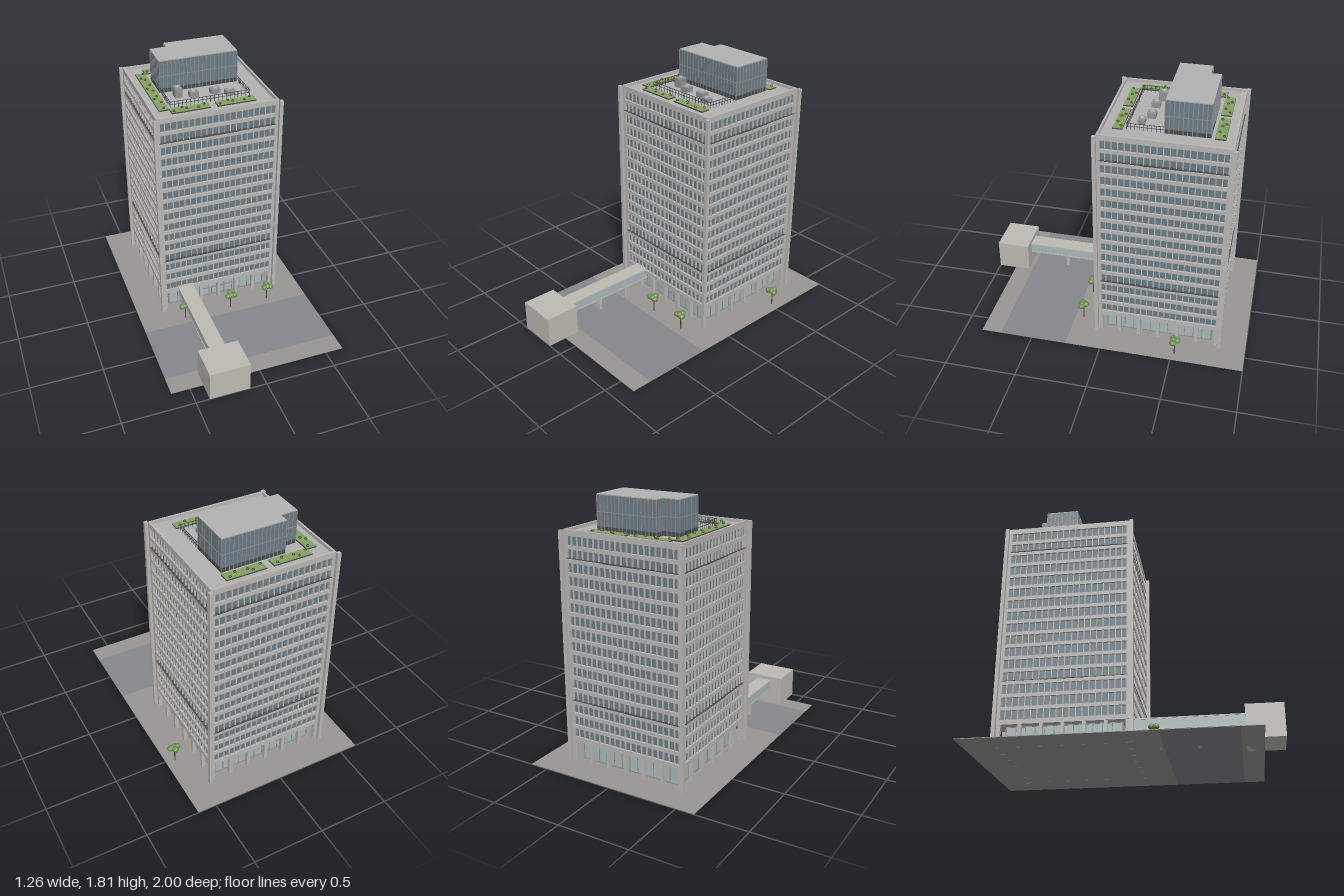
import * as THREE from 'three';
import { mergeGeometries } from 'three/addons/utils/BufferGeometryUtils.js';

const mat = (color) => new THREE.MeshStandardMaterial({ color, flatShading: true });
const M = {
  concrete: mat(0xbab8b5), annex: mat(0xbcbbb3), glass: mat(0x6b7c86), lobby: mat(0xaab9bc),
  dark: mat(0x4a4c4e), metal: mat(0x8f9193), roof: mat(0xb2b2b2), paving: mat(0x979693),
  road: mat(0x86878c), grass: mat(0x86a062), leaf: mat(0x6f8f52), shrub: mat(0x3f5a34), trunk: mat(0x5a4a38),
};

// Box given by its min and max corners
function box(x0, x1, y0, y1, z0, z1) {
  return new THREE.BoxGeometry(x1 - x0, y1 - y0, z1 - z0)
    .translate((x0 + x1) / 2, (y0 + y1) / 2, (z0 + z1) / 2);
}

function add(parent, name, geos, material) {
  const mesh = new THREE.Mesh(mergeGeometries([].concat(geos)), material);
  mesh.name = name;
  parent.add(mesh);
  return mesh;
}

// Square block centred on the tower axis
const square = (h, y0, y1) => box(-h, h, y0, y1, -h, h);

// Copies geometries made for the front side onto all four sides
const fourSides = (geos) =>
  [0, 1, 2, 3].flatMap((k) => geos.map((g) => g.clone().rotateY((k * Math.PI) / 2)));

const DECK = 1.575;

function makeTower() {
  const t = new THREE.Group();
  t.name = 'tower';
  t.position.z = -0.375;
  const H = 0.43, G = 0.415, floors = 16, pitch = 0.0877, sill = 0.18, winH = 0.0625;

  add(t, 'windowGlass', square(G, 0.15, 1.56), M.glass);

  // Floor bands between the window rows
  const bands = [square(H, 0.148, sill)];
  for (let i = 0; i < floors - 1; i++) {
    const y = sill + i * pitch + winH;
    bands.push(square(H, y, y + pitch - winH));
  }
  bands.push(square(H, sill + (floors - 1) * pitch + winH, DECK));
  add(t, 'floorBands', bands, M.concrete);

  // Mullions and wider end piers on every side
  const bars = [];
  for (let i = 1; i < 20; i++) {
    const x = -G + (i * 2 * G) / 20;
    bars.push(box(x - 0.003, x + 0.003, 0.15, 1.56, G - 0.005, H - 0.003));
  }
  for (const s of [-1, 1]) bars.push(box(s * 0.4225 - 0.0075, s * 0.4225 + 0.0075, 0.15, 1.56, G - 0.01, H));
  add(t, 'mullions', fourSides(bars), M.concrete);

  // Dark ledges below two of the floors
  add(t, 'ledges', fourSides([0.445, 1.413].flatMap((y) => [
    box(-0.415, 0.415, y - 0.002, y + 0.002, H - 0.02, H + 0.002),
    box(-0.14, 0.14, y - 0.004, y + 0.002, H - 0.02, H + 0.003),
  ])), M.dark);

  // Parapet, roof deck and corner columns
  add(t, 'parapet', fourSides([box(-H, H, DECK - 0.005, 1.597, H - 0.014, H)]), M.concrete);
  add(t, 'roofDeck', square(G, DECK - 0.01, DECK + 0.001), M.roof);
  const corners = [];
  for (const sx of [-1, 1]) for (const sz of [-1, 1])
    corners.push(box(-0.0125, 0.0125, 0, 1.592, -0.0125, 0.0125).translate(sx * 0.44, 0, sz * 0.44));
  add(t, 'cornerColumns', corners, M.concrete);

  // Recessed lobby with its frames and the ground floor colonnade
  add(t, 'lobbyGlass', square(0.375, 0.004, 0.15), M.lobby);
  const frames = [], columns = [];
  for (let i = 0; i <= 12; i++) {
    const x = -0.372 + i * 0.062;
    frames.push(box(x - 0.002, x + 0.002, 0.004, 0.15, 0.37, 0.379));
  }
  for (const y of [0.008, 0.146]) frames.push(box(-0.375, 0.375, y - 0.003, y + 0.003, 0.37, 0.379));
  for (let i = 0; i <= 6; i++) {
    const x = -0.414 + i * 0.138;
    columns.push(box(x - 0.011, x + 0.011, 0, 0.15, 0.4, 0.428));
  }
  add(t, 'lobbyFrames', fourSides(frames), M.metal);
  add(t, 'groundColumns', fourSides(columns), M.concrete);
  add(t, 'entranceDoors', [
    box(-0.12, 0.13, 0.073, 0.079, 0.37, 0.385),
    ...[-0.06, -0.04, 0, 0.06].map((x) => box(x - 0.002, x + 0.002, 0.004, 0.075, 0.37, 0.383)),
  ], M.metal);
  return t;
}

function makePenthouse() {
  const p = new THREE.Group();
  p.name = 'penthouse';
  const outline = [[-0.283, -0.352], [0.28, -0.352], [0.28, -0.645], [-0.163, -0.645], [-0.163, -0.575], [-0.283, -0.575]];
  const slab = (y0, y1, pts = outline) => new THREE.ExtrudeGeometry(
    new THREE.Shape(pts.map(([x, z]) => new THREE.Vector2(x, -z))),
    { depth: y1 - y0, bevelEnabled: false }).rotateX(-Math.PI / 2).translate(0, y0, 0);
  add(p, 'penthouseGlass', slab(DECK, 1.804), M.glass);
  add(p, 'penthouseRoof', slab(1.803, 1.81), M.roof);

  // Mullions and rails along each wall
  const bars = [], rails = [], plinth = [];
  outline.forEach(([x0, z0], i) => {
    const [x1, z1] = outline[(i + 1) % outline.length];
    const len = Math.hypot(x1 - x0, z1 - z0), n = Math.round(len / 0.028);
    for (let k = 0; k < n; k++) {
      const x = x0 + ((x1 - x0) * k) / n, z = z0 + ((z1 - z0) * k) / n;
      bars.push(box(x - 0.002, x + 0.002, DECK, 1.804, z - 0.003, z + 0.003));
    }
    const rail = (y, h) => box(Math.min(x0, x1) - 0.002, Math.max(x0, x1) + 0.002, y, y + h,
      Math.min(z0, z1) - 0.002, Math.max(z0, z1) + 0.002);
    rails.push(rail(1.694, 0.005));
    plinth.push(rail(DECK, 0.03));
  });
  add(p, 'penthouseMullions', bars, M.metal);
  add(p, 'penthouseRails', rails, M.metal);
  add(p, 'penthousePlinth', plinth, M.dark);
  return p;
}

function makeRoofTerrace() {
  const r = new THREE.Group();
  r.name = 'roofTerrace';

  // Planting beds with shrubs: x0, x1, z0, z1
  const beds = [[-0.3, -0.03, -0.74, -0.67], [0.02, 0.295, -0.74, -0.67], [-0.37, -0.3, -0.68, -0.08],
    [-0.3, -0.03, -0.085, -0.02], [0.02, 0.295, -0.085, -0.02]];
  const kerbs = [], lawns = [], shrubs = [];
  for (const [x0, x1, z0, z1] of beds) {
    kerbs.push(box(x0, x1, DECK, 1.584, z0, z1));
    lawns.push(box(x0 + 0.001, x1 - 0.001, 1.583, 1.587, z0 + 0.001, z1 - 0.001));
    const n = x1 - x0 > 0.1 ? 5 : 10;
    for (let i = 0; i < n; i++) {
      const u = (i + 0.35 + 0.3 * Math.sin(i * 2.3)) / n, v = 0.5 + 0.28 * Math.sin(i * 4.1 + 1);
      const [a, b] = n === 5 ? [u, v] : [v, u];
      shrubs.push(new THREE.IcosahedronGeometry(0.011, 0)
        .translate(x0 + a * (x1 - x0), 1.59, z0 + b * (z1 - z0)));
    }
  }
  add(r, 'planterKerbs', kerbs, M.dark);
  add(r, 'planterLawns', lawns, M.grass);
  add(r, 'shrubs', shrubs, M.shrub);

  // Railing in front of the penthouse
  const rail = [];
  const post = (x, z) => rail.push(box(x - 0.0015, x + 0.0015, DECK, 1.62, z - 0.0015, z + 0.0015));
  for (let i = 0; i <= 20; i++) post(-0.283 + (i * 0.563) / 20, -0.11);
  for (let i = 1; i < 9; i++) for (const x of [-0.283, 0.28]) post(x, -0.11 - i * 0.027);
  for (const y of [1.598, 1.618]) {
    rail.push(box(-0.283, 0.28, y, y + 0.003, -0.112, -0.109));
    for (const x of [-0.283, 0.28]) rail.push(box(x - 0.0015, x + 0.0015, y, y + 0.003, -0.352, -0.11));
  }
  add(r, 'railing', rail, M.dark);

  // Cooling units with round fans: x, z, width, depth, top
  const units = [], fans = [];
  for (const [x, z, w, d, top] of [[-0.183, -0.27, 0.052, 0.07, 1.64], [-0.08, -0.235, 0.062, 0.058, 1.61],
    [0.073, -0.235, 0.064, 0.058, 1.61], [0.165, -0.187, 0.066, 0.046, 1.605]]) {
    units.push(box(x - w / 2, x + w / 2, DECK, top, z - d / 2, z + d / 2));
    fans.push(new THREE.CylinderGeometry(0.016, 0.016, 0.008, 12).translate(x, top + 0.004, z));
  }
  add(r, 'coolingUnits', units, M.metal);
  add(r, 'coolingFans', fans, M.roof);
  return r;
}

function makeTree(x, z) {
  const tree = new THREE.Group();
  tree.name = 'tree';
  tree.position.set(x, 0, z);
  add(tree, 'trunk', new THREE.CylinderGeometry(0.003, 0.005, 0.12, 6).translate(0, 0.06, 0), M.trunk);
  add(tree, 'canopy', [[-0.024, 0.122, 0.012], [0.024, 0.122, 0.012], [0, 0.128, -0.016], [0, 0.126, 0.012]].map(
    ([a, b, c]) => new THREE.IcosahedronGeometry(0.024, 1).scale(1, 0.85, 1).translate(a, b, c)), M.leaf);
  return tree;
}

export function createModel() {
  const g = new THREE.Group();
  g.name = 'officeTowerBlock';

  // Ground strips
  add(g, 'pavement', [box(-0.63, 0.63, 0, 0.004, -1, 0.25), box(-0.63, 0.63, 0, 0.004, 0.73, 0.87)], M.paving);
  add(g, 'road', box(-0.63, 0.63, 0, 0.003, 0.25, 0.73), M.road);

  g.add(makeTower(), makePenthouse(), makeRoofTerrace());

  // Footbridge over the road to the annex
  const bridge = new THREE.Group();
  bridge.name = 'footbridge';
  add(bridge, 'bridgeGlass', box(-0.313, -0.207, 0.118, 0.182, 0.04, 0.77), M.lobby);
  add(bridge, 'bridgeSlabs', [box(-0.317, -0.203, 0.11, 0.12, 0.04, 0.77),
    box(-0.317, -0.203, 0.18, 0.188, 0.04, 0.77)], M.annex);
  add(bridge, 'bridgePiers', [0.23, 0.47].map((z) => box(-0.29, -0.23, 0, 0.112, z - 0.011, z + 0.011)), M.annex);
  g.add(bridge);
  add(g, 'annex', box(-0.405, -0.12, 0, 0.217, 0.76, 1), M.annex);

  for (const [x, z] of [[-0.31, 0.19], [0.045, 0.19], [0.335, 0.19], [0.565, -0.52]]) g.add(makeTree(x, z));
  return g;
}
